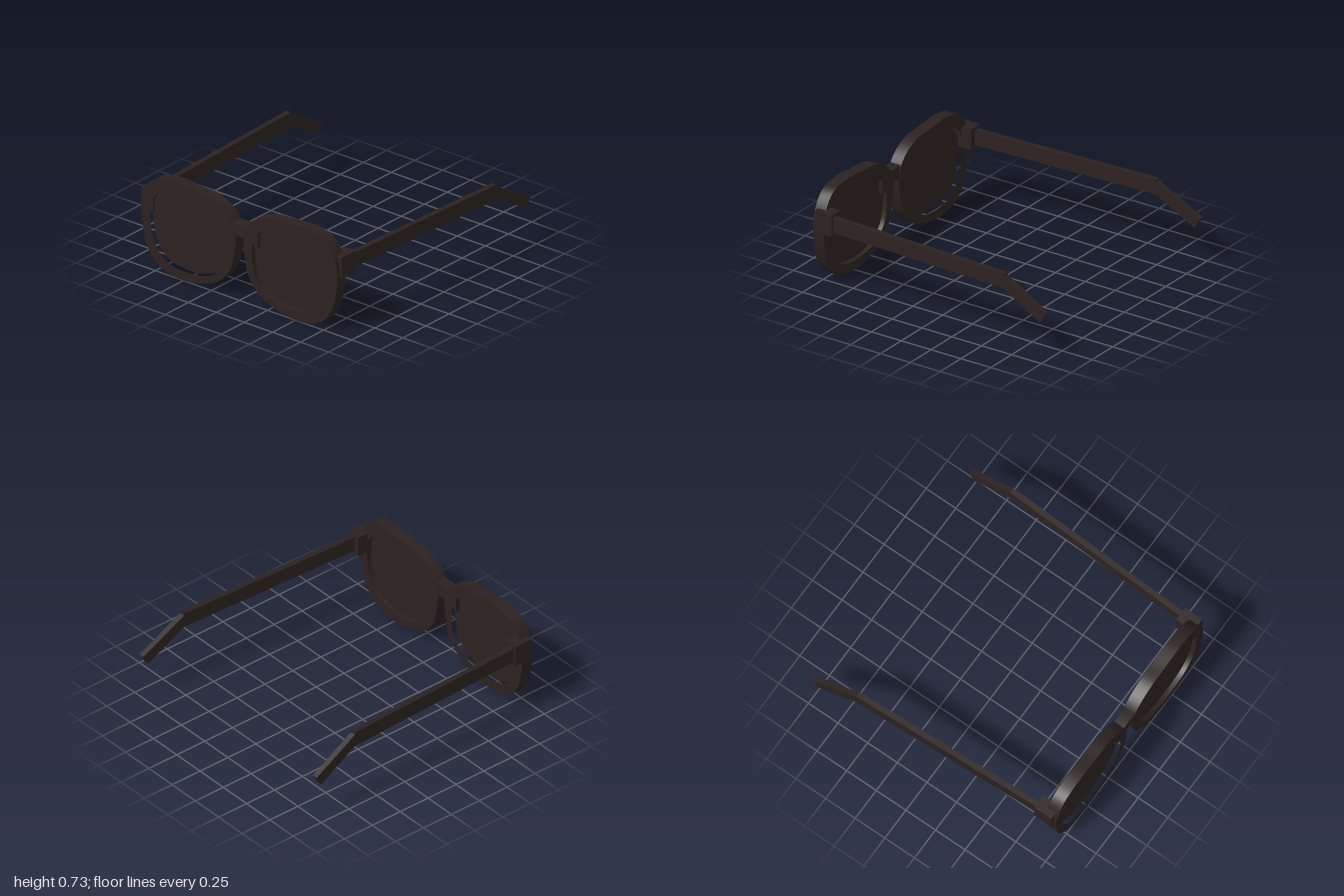
import * as THREE from 'three';
import { toCreasedNormals } from 'three/addons/utils/BufferGeometryUtils.js';

// Outlines of the left half, as [x, y]
const RIM = [[0.61, 0.732], [0.4, 0.72], [0.25, 0.708], [0.12, 0.645], [0.05, 0.56], [0.035, 0.48],
  [0.045, 0.36], [0.085, 0.21], [0.19, 0.09], [0.32, 0.035], [0.46, 0.006], [0.6, 0.012], [0.73, 0.06],
  [0.815, 0.16], [0.857, 0.29], [0.873, 0.465], [0.845, 0.59], [0.76, 0.695]];
const OPENING = [[0.6, 0.632], [0.45, 0.62], [0.3, 0.613], [0.22, 0.6], [0.155, 0.545], [0.115, 0.46],
  [0.117, 0.31], [0.155, 0.2], [0.245, 0.125], [0.37, 0.083], [0.55, 0.08], [0.66, 0.11],
  [0.745, 0.195], [0.785, 0.31], [0.795, 0.44], [0.775, 0.54], [0.7, 0.61]];
const BRIDGE = [[0, 0.581], [0.1, 0.578], [0.158, 0.565], [0.158, 0.442], [0.11, 0.463], [0.05, 0.485], [0, 0.485]];

// Closed smooth loop through the outline, mirrored by side
function loop(points, side) {
  const curve = new THREE.CatmullRomCurve3(
    points.map(([x, y]) => new THREE.Vector3(x * side, y, 0)), true);
  return curve.getPoints(96).slice(0, -1).map(p => new THREE.Vector2(p.x, p.y));
}

// Straight extrusion between two z values
function slab(shape, back, front) {
  const g = new THREE.ExtrudeGeometry(shape, { depth: front - back, bevelEnabled: false });
  g.translate(0, 0, back);
  return toCreasedNormals(g, 0.6);
}

export function createModel() {
  const model = new THREE.Group();
  const frameMat = new THREE.MeshStandardMaterial({ color: 0x2b2120 });
  frameMat.name = 'darkBrown';

  function add(name, geometry) {
    const mesh = new THREE.Mesh(geometry, frameMat);
    mesh.name = name;
    model.add(mesh);
    return mesh;
  }

  // Bridge reaching over the inner corner of both openings
  const half = BRIDGE.map(([x, y]) => new THREE.Vector2(x, y));
  const mirrored = BRIDGE.slice(1, -1).reverse().map(([x, y]) => new THREE.Vector2(-x, y));
  add('bridge', slab(new THREE.Shape([...half, ...mirrored]), 0.914, 0.996));

  // Side profile of the temple arm and its lowered tip, as [-z, y]
  const v = (x, y) => new THREE.Vector2(x, y);
  const arm = [v(-0.86, 0.453), v(0.64, 0.453), v(0.645, 0.565), v(-0.86, 0.565)];
  const tip = [v(0.63, 0.46), v(0.957, 0.279), v(1.0, 0.354), v(0.643, 0.549)];

  for (const side of [1, -1]) {
    const label = side > 0 ? 'left' : 'right';

    // Rim with its opening, and the lens recessed in it
    const rim = new THREE.Shape(loop(RIM, side));
    rim.holes.push(new THREE.Path(loop(OPENING, side)));
    add(label + 'Rim', slab(rim, 0.91, 1));
    add(label + 'Lens', slab(new THREE.Shape(loop(OPENING, side)), 0.945, 0.965));

    // Hinge block at the outer corner
    const hinge = add(label + 'Hinge', new THREE.BoxGeometry(0.108, 0.16, 0.147));
    hinge.position.set(side * 0.842, 0.51, 0.903);

    // Temple arm and tip, splayed outwards to the back
    for (const [name, profile] of [['Temple', arm], ['TempleTip', tip]]) {
      const g = new THREE.ExtrudeGeometry(new THREE.Shape(profile), { depth: 0.042, bevelEnabled: false });
      g.translate(0, 0, -0.021);
      g.rotateY(Math.PI / 2);
      const mesh = add(label + name, g);
      mesh.position.x = side * 0.889;
      mesh.rotation.y = -side * 0.041;
    }
  }
  return model;
}
